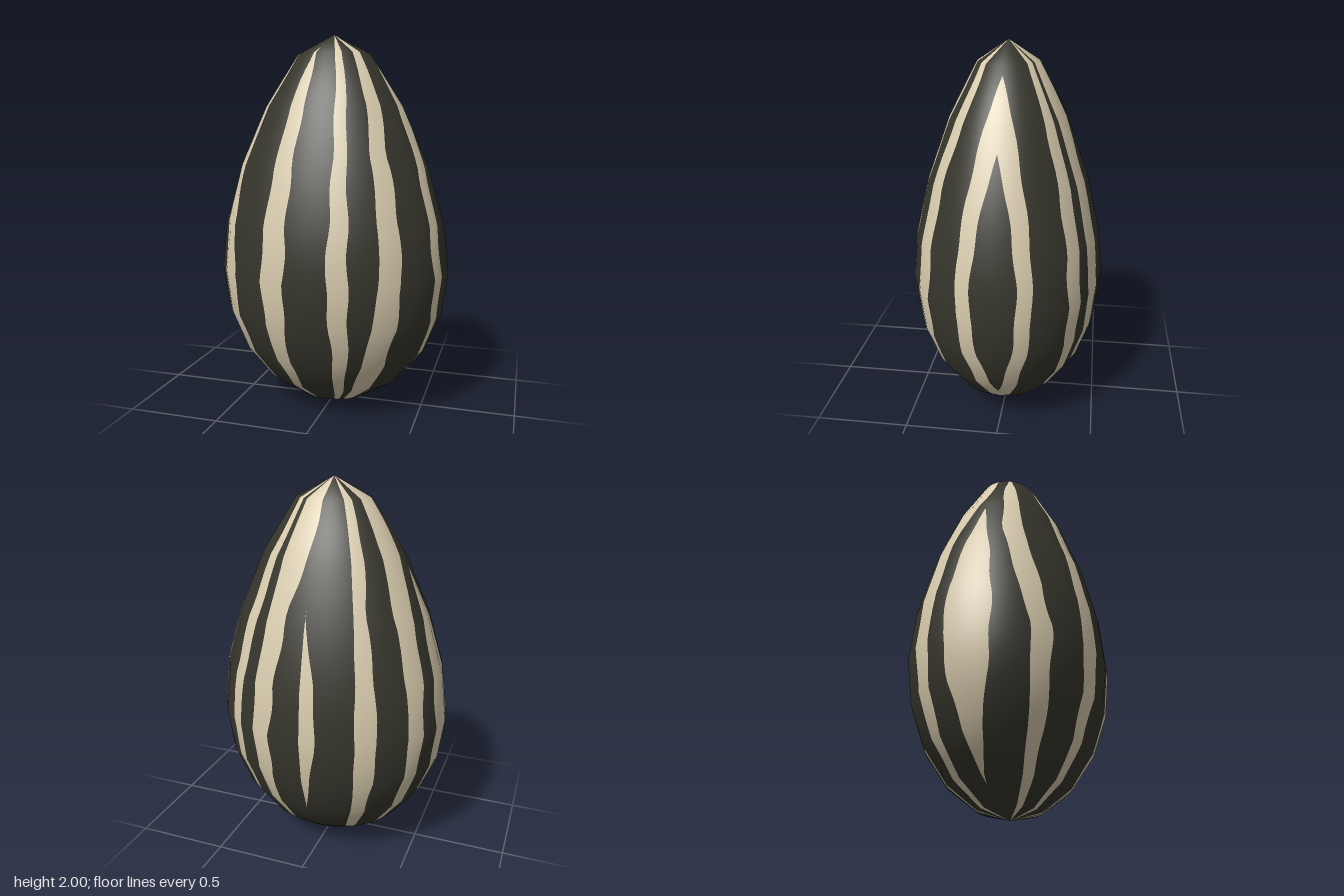
import * as THREE from 'three';

const RX = 0.63, RZ = 0.515, SIDES = 20;
const { lerp, degToRad } = THREE.MathUtils;

// Shell profile from base to tip: ring heights, with radii following a half circle
const RING_HEIGHTS = [0, 0.04, 0.15, 0.32, 0.53, 0.76, 1.02, 1.32, 1.63, 1.9, 2];
const RADII = RING_HEIGHTS.map((y, i) => Math.sin(Math.PI * i / 10));

// Linear interpolation of values given at rising heights
function at(heights, values, y) {
  let i = 1;
  while (i < heights.length - 1 && y > heights[i]) i++;
  const f = (y - heights[i - 1]) / (heights[i] - heights[i - 1]);
  return lerp(values[i - 1], values[i], THREE.MathUtils.clamp(f, 0, 1));
}

// Outward profile direction at each ring
const SLOPES = RING_HEIGHTS.map((y, i) => {
  const a = Math.max(i - 1, 0), b = Math.min(i + 1, 10);
  const rise = i === 0 ? 0 : RING_HEIGHTS[b] - RING_HEIGHTS[a];
  return new THREE.Vector2(rise, (RADII[a] - RADII[b]) * 0.57).normalize();
});
const SLOPE_OUT = SLOPES.map(v => v.x), SLOPE_UP = SLOPES.map(v => v.y);

// Stripe running the whole length: centre and width in degrees at four heights
const STRIPE_HEIGHTS = [0.2, 0.8, 1.4, 1.8];
function longStripe(centres, widths, tip = 3) {
  const edge = side => y => {
    const taper = THREE.MathUtils.clamp((tip - y) / 0.15, 0, 1);
    return at(STRIPE_HEIGHTS, centres, y) + side * taper * at(STRIPE_HEIGHTS, widths, y) / 2;
  };
  return [edge(-1), edge(1)];
}

// Spread in degrees that swells between two heights and closes at both
const swell = (low, high, size, power) => y =>
  y <= low || y >= high ? 0 : size * Math.sin(Math.PI * (y - low) / (high - low)) ** power;

const sliver = swell(0.33, 1.38, 7.5, 1);
const patch = swell(0.12, 1.57, 13.5, 0.8);
const loopOuter = swell(0.07, 1.83, 22, 0.45);
const loopInner = swell(0.23, 1.51, 13, 0.7);

// Pale stripes in order round the shell, as start and end angles from the front
const STRIPES = [
  // back sliver and back right pair
  [() => -180, y => -180 + sliver(y)],
  longStripe([-149, -148.5, -148, -143], [8, 11, 8, 12]),
  longStripe([-120.5, -120.5, -118, -105], [9, 11, 16, 30]),
  // right flank patch
  [y => -90 - patch(y), y => -90 + patch(y)],
  // front stripes
  longStripe([-51, -50.5, -64.5, -66], [10, 12, 15, 16], 1.95),
  longStripe([-18.3, -17.2, -17.5, -17.5], [8.6, 13, 12, 13], 1.94),
  longStripe([17, 14.2, 16.5, 20], [8, 10, 8, 10]),
  longStripe([36, 40, 41, 49], [16, 12, 12, 14]),
  // left flank loop, front half and back half
  [y => 90 - loopOuter(y), y => 90 - loopInner(y)],
  [y => 90 + loopInner(y), y => 90 + loopOuter(y)],
  // back left pair
  longStripe([139.5, 139, 140.5, 140], [7, 9, 11, 11]),
  longStripe([157.5, 158.5, 161, 166], [8, 11, 14, 28]),
];

// Stripe edges waver slightly, but stay put at the back seam
const waver = edge => y =>
  edge(y) + 0.7 * Math.sin(degToRad(edge(y)) * 6) * Math.sin(y * 19);

// Point on the many-sided shell
function shellPoint(deg, y) {
  const r = at(RING_HEIGHTS, RADII, y);
  const step = 360 / SIDES, k = Math.floor(deg / step), f = deg / step - k;
  const a = degToRad(k * step), b = degToRad((k + 1) * step);
  return [
    RX * r * lerp(Math.sin(a), Math.sin(b), f),
    y,
    RZ * r * lerp(Math.cos(a), Math.cos(b), f),
  ];
}

// Smooth normal of the oval shell
function shellNormal(deg, y) {
  const t = degToRad(deg), out = 0.57 * at(RING_HEIGHTS, SLOPE_OUT, y);
  return new THREE.Vector3(
    out * Math.sin(t) / RX,
    at(RING_HEIGHTS, SLOPE_UP, y),
    out * Math.cos(t) / RZ,
  ).normalize().toArray();
}

// Heights of the rows, including every profile ring
const ROWS = Array.from({ length: 61 }, (_, j) => {
  const i = Math.min(Math.floor(j / 6), 9);
  return lerp(RING_HEIGHTS[i], RING_HEIGHTS[i + 1], j / 6 - i);
});

// One lengthwise band of shell between two edge functions of height
function bandGeometry(start, end, cols) {
  const pos = [], nor = [], idx = [];
  const width = y => end(y) - start(y);
  ROWS.forEach((y, j) => {
    for (let i = 0; i <= cols; i++) {
      const deg = start(y) + width(y) * i / cols;
      pos.push(...shellPoint(deg, y));
      nor.push(...shellNormal(deg, y));
    }
    if (j === 0 || (width(y) < 0.01 && width(ROWS[j - 1]) < 0.01)) return;
    for (let i = 0; i < cols; i++) {
      const a = (j - 1) * (cols + 1) + i, d = a + cols + 1;
      idx.push(a, a + 1, d + 1, a, d + 1, d);
    }
  });
  const g = new THREE.BufferGeometry();
  g.setAttribute('position', new THREE.Float32BufferAttribute(pos, 3));
  g.setAttribute('normal', new THREE.Float32BufferAttribute(nor, 3));
  g.setIndex(idx);
  return g;
}

export function createModel() {
  const cream = new THREE.MeshStandardMaterial({ color: 0xd8cbae });
  cream.name = 'cream';
  const charcoal = new THREE.MeshStandardMaterial({ color: 0x36352c });
  charcoal.name = 'charcoal';

  const seed = new THREE.Group();
  seed.name = 'stripedSeed';
  const add = (name, material, start, end, cols) => {
    const mesh = new THREE.Mesh(bandGeometry(start, end, cols), material);
    mesh.name = name;
    seed.add(mesh);
  };

  // Dark shell and pale stripes alternate round the seed
  let previous = () => -180;
  STRIPES.forEach((edges, i) => {
    const [start, end] = edges.map(waver);
    add('darkShell' + (i + 1), charcoal, previous, start, 10);
    add('paleStripe' + (i + 1), cream, start, end, 6);
    previous = end;
  });
  add('darkShell' + (STRIPES.length + 1), charcoal, previous, () => 180, 10);
  return seed;
}
